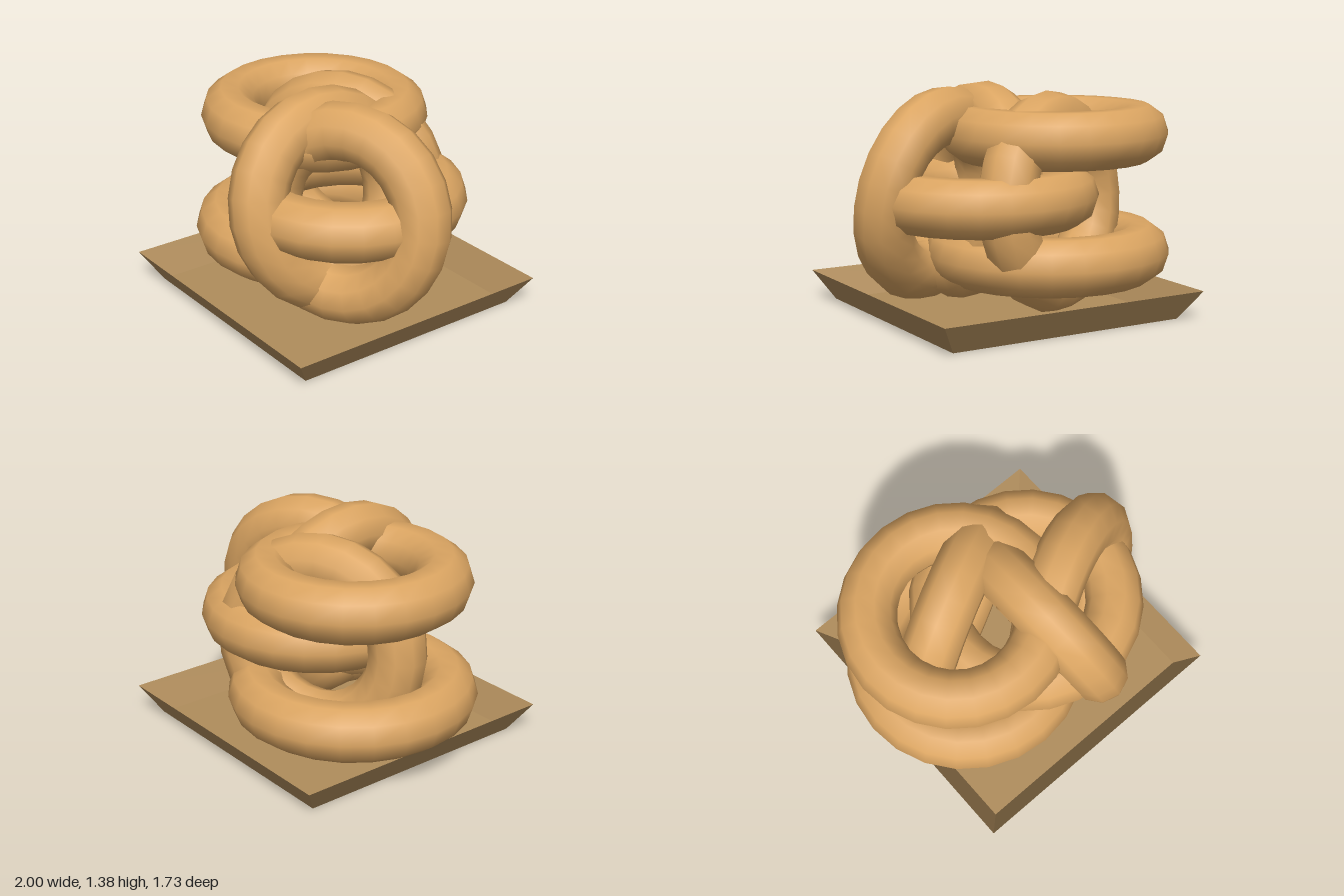
import * as THREE from 'three';

export function createModel() {
  const model = new THREE.Group();
  const dough = new THREE.MeshStandardMaterial({ color: 0xdba562 });
  const trayMaterial = new THREE.MeshStandardMaterial({ color: 0xb08d5c, side: THREE.DoubleSide });

  // Rings: name, major radius, centre, axis direction
  const tube = 0.175;
  const rings = [
    ['bottomRing', 0.57, [-0.255, 0.355, -0.075], [0, 1, 0]],
    ['middleRing', 0.535, [0.17, 0.717, 0], [0, 1, 0]],
    ['topRing', 0.515, [-0.29, 1.078, -0.095], [0, 1, 0]],
    ['frontUprightRing', 0.49, [0.17, 0.73, 0.15], [1, 0.24, -0.02]],
    ['leftUprightRing', 0.485, [0.385, 0.715, 0.18], [0.47, 0.2, 1]],
    ['backUprightRing', 0.485, [-0.175, 0.68, -0.25], [0.5, -0.08, 1]],
  ];
  const forward = new THREE.Vector3(0, 0, 1);
  for (const [name, radius, centre, axis] of rings) {
    const ring = new THREE.Mesh(new THREE.TorusGeometry(radius, tube, 10, 24), dough);
    ring.name = name;
    ring.position.set(...centre);
    ring.quaternion.setFromUnitVectors(forward, new THREE.Vector3(...axis).normalize());
    model.add(ring);
  }

  // Tray: thin floor with four walls flaring outwards
  const tray = new THREE.Group();
  tray.name = 'tray';
  tray.position.x = 0.022;
  const floorHalf = 0.757, rimHalf = 0.867, height = 0.175;

  const floor = new THREE.Mesh(new THREE.PlaneGeometry(2 * floorHalf, 2 * floorHalf), trayMaterial);
  floor.name = 'trayFloor';
  floor.rotation.x = -Math.PI / 2;
  tray.add(floor);

  // One sloping wall, turned to each side
  const wallGeometry = new THREE.PlaneGeometry(2, 1);
  const corners = wallGeometry.attributes.position;
  for (let i = 0; i < corners.count; i++) {
    const top = corners.getY(i) > 0;
    const half = top ? rimHalf : floorHalf;
    corners.setXYZ(i, corners.getX(i) * half, top ? height : 0, half);
  }
  wallGeometry.computeVertexNormals();
  ['Front', 'Left', 'Back', 'Right'].forEach((side, i) => {
    const wall = new THREE.Mesh(wallGeometry, trayMaterial);
    wall.name = `tray${side}Wall`;
    wall.rotation.y = i * Math.PI / 2;
    tray.add(wall);
  });
  model.add(tray);

  return model;
}
